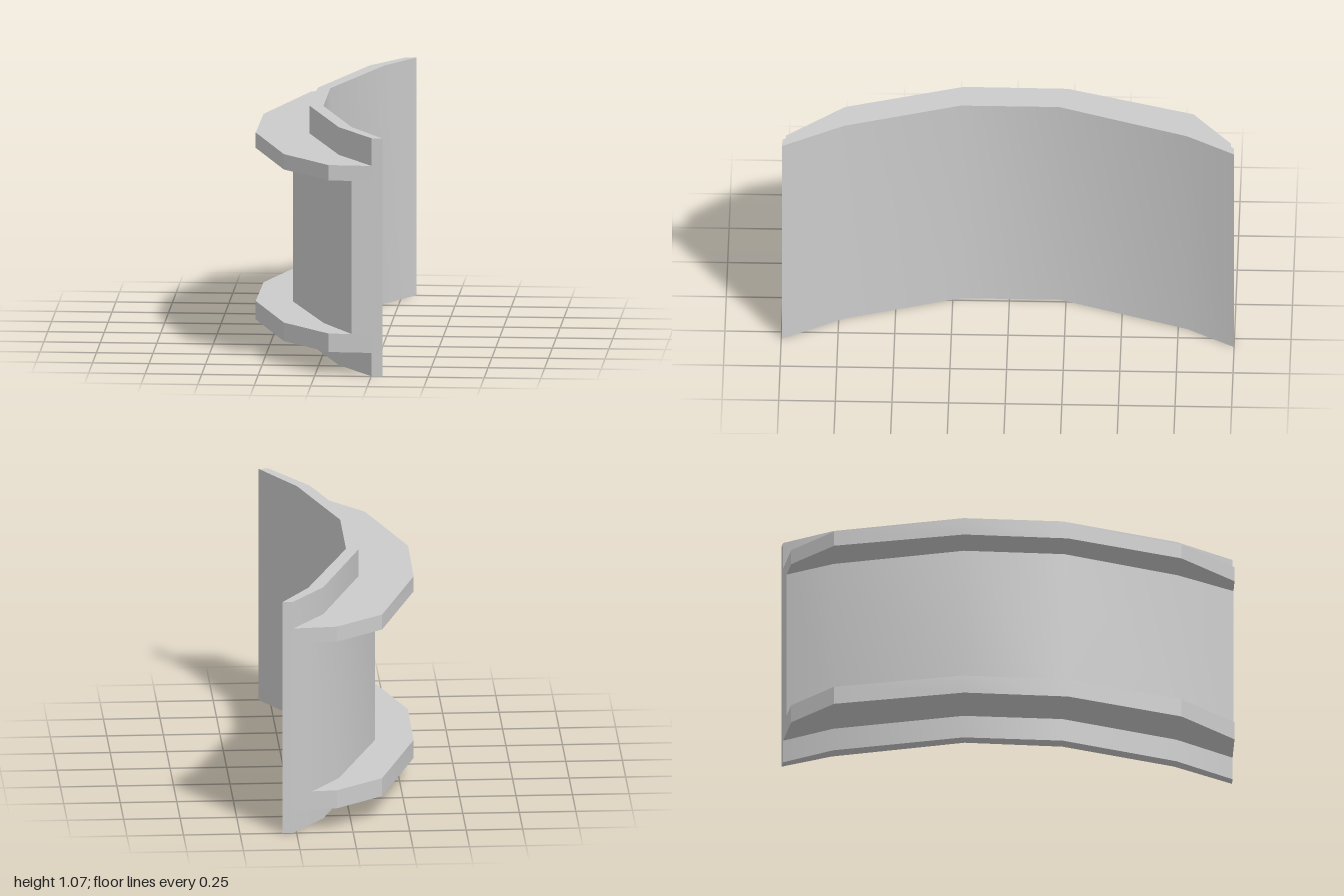
import * as THREE from 'three';
import { toCreasedNormals } from 'three/addons/utils/BufferGeometryUtils.js';

// Plan outlines as [x, z], running from the back end to the front end
const inner = [[0.312, -1], [0.185, -0.79], [-0.015, -0.22], [-0.015, 0.215], [0.145, 0.725], [0.3, 0.997]];
const skin = [[0.265, -0.997], [0.12, -0.79], [-0.07, -0.23], [-0.078, 0.21], [0.088, 0.73], [0.252, 0.995]];
const web = [[0.18, -0.99], [0.05, -0.795], [-0.143, -0.235], [-0.15, 0.21], [0.022, 0.73], [0.163, 0.991]];
const rim = [[0.07, -0.98], [-0.14, -0.81], [-0.312, -0.25], [-0.315, 0.21], [-0.155, 0.73], [0.06, 0.985]];

const material = new THREE.MeshStandardMaterial({ color: 0xcccccc });

// Curved slab between two plan outlines, from height y0 to y1
function slab(name, a, b, y0, y1) {
  const points = [...a, ...[...b].reverse()].map(([x, z]) => new THREE.Vector2(x, -z));
  const geometry = new THREE.ExtrudeGeometry(new THREE.Shape(points), {
    depth: y1 - y0, bevelEnabled: false, curveSegments: 1,
  });
  geometry.rotateX(-Math.PI / 2).translate(0, y0, 0);
  const mesh = new THREE.Mesh(toCreasedNormals(geometry, 0.36), material);
  mesh.name = name;
  return mesh;
}

export function createModel() {
  const group = new THREE.Group();
  group.name = 'curvedFlangedPanel';
  group.add(
    slab('facePlate', inner, skin, 0, 1.068),
    slab('thickWeb', skin, web, 0.188, 0.875),
    slab('lowerFlange', skin, rim, 0.105, 0.188),
    slab('upperFlange', skin, rim, 0.875, 0.944),
  );
  return group;
}
